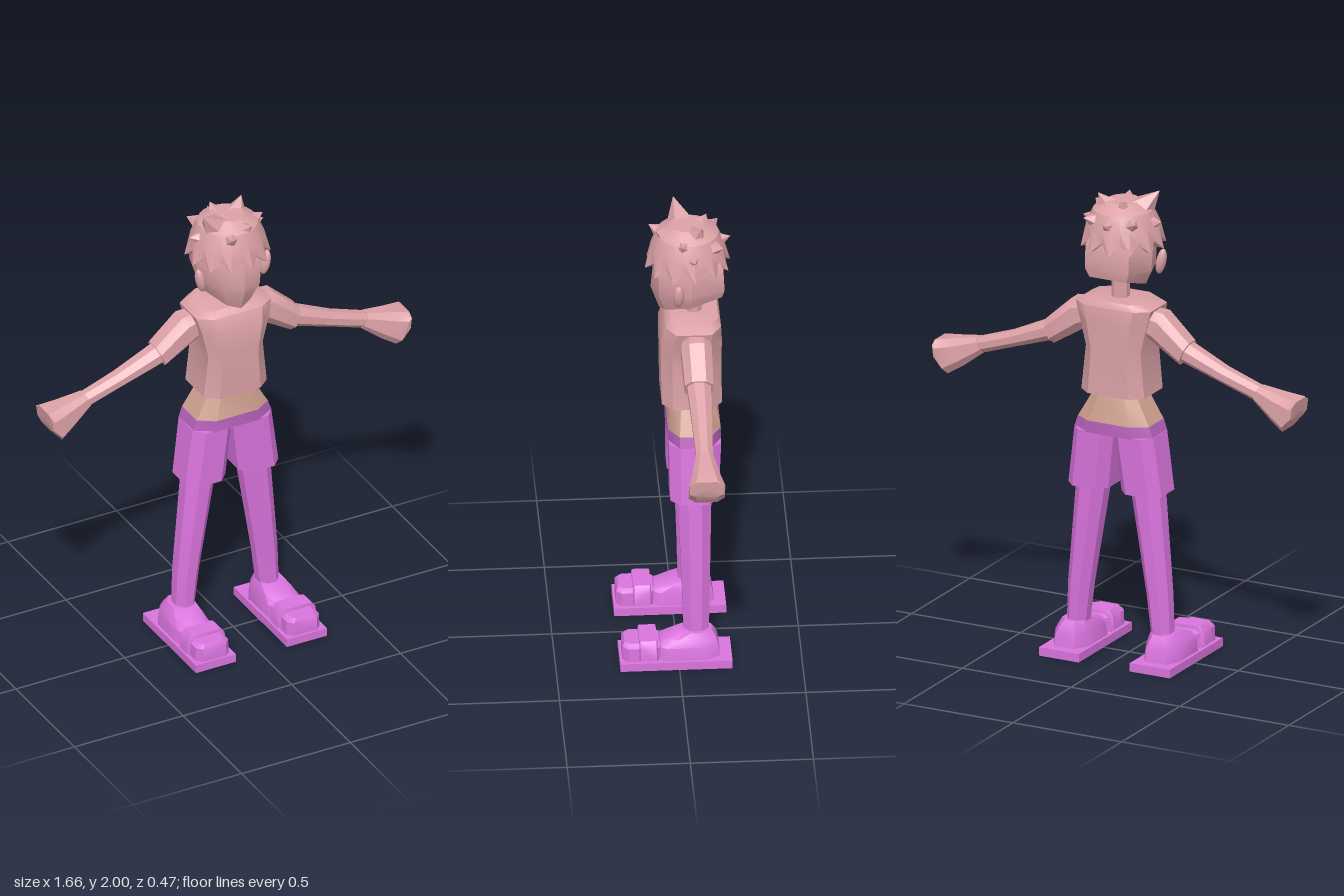
import * as THREE from 'three';
import { toCreasedNormals } from 'three/addons/utils/BufferGeometryUtils.js';

const skin = new THREE.MeshStandardMaterial({ color: 0xdca2a7 });
skin.name = 'rosePink';
const midriff = new THREE.MeshStandardMaterial({ color: 0xcfa08f });
midriff.name = 'tanPink';
const violet = new THREE.MeshStandardMaterial({ color: 0xda74de });
violet.name = 'violet';
const band = new THREE.MeshStandardMaterial({ color: 0xb862bc });
band.name = 'darkViolet';

// Ring of n points: centre, radii, boxiness (1 = round, lower = squarer), tilt about z
function ring(cx, cy, cz, rx, rz, e = 1, tilt = 0, n = 8) {
  const pow = (v) => Math.sign(v) * Math.abs(v) ** e;
  const max = pow(Math.cos(Math.PI / n));
  return Array.from({ length: n }, (_, i) => {
    const a = ((i + 0.5) / n) * Math.PI * 2;
    const u = (rx * pow(Math.cos(a))) / max;
    const w = (rz * pow(Math.sin(a))) / max;
    return [cx + u * Math.cos(tilt), cy + u * Math.sin(tilt), cz - w];
  });
}

// Full ring from the points of its +x half, listed front to back
function mirrored(half) {
  const other = half.filter((p) => p[0] > 0).reverse().map(([x, y, z]) => [-x, y, z]);
  return [...half, ...other];
}

// Skin a stack of rings and close both ends; side = -1 mirrors the result in x
function loft(rings, side = 1, crease = 0.65) {
  const n = rings[0].length;
  const pos = [];
  const tri = (a, b, c) => {
    for (const p of side > 0 ? [a, b, c] : [a, c, b]) pos.push(p[0] * side, p[1], p[2]);
  };
  const middle = (r) => [0, 1, 2].map((k) => r.reduce((s, p) => s + p[k], 0) / n);
  const first = rings[0];
  const last = rings[rings.length - 1];
  const c0 = middle(first);
  const c1 = middle(last);
  for (let i = 0; i < n; i++) {
    const j = (i + 1) % n;
    for (let k = 0; k + 1 < rings.length; k++) {
      const lo = rings[k];
      const hi = rings[k + 1];
      tri(lo[i], lo[j], hi[i]);
      tri(lo[j], hi[j], hi[i]);
    }
    tri(c0, first[j], first[i]);
    tri(c1, last[i], last[j]);
  }
  const geo = new THREE.BufferGeometry();
  geo.setAttribute('position', new THREE.Float32BufferAttribute(pos, 3));
  return toCreasedNormals(geo, crease);
}

export function createModel() {
  const model = new THREE.Group();
  model.name = 'figure';
  const add = (name, geo, mat) => {
    const mesh = new THREE.Mesh(geo, mat);
    mesh.name = name;
    model.add(mesh);
    return mesh;
  };

  // Head with slanted jaw
  add('head', loft([
    mirrored([[0, 1.56, 0.065], [0.055, 1.58, 0.045], [0.11, 1.615, -0.06], [0.085, 1.65, -0.185]]),
    mirrored([[0, 1.66, 0.1], [0.085, 1.66, 0.07], [0.133, 1.67, -0.06], [0.1, 1.69, -0.195]]),
    mirrored([[0, 1.79, 0.088], [0.09, 1.79, 0.07], [0.142, 1.79, -0.06], [0.1, 1.79, -0.19]]),
    mirrored([[0, 1.88, 0.04], [0.06, 1.88, 0.03], [0.1, 1.88, -0.06], [0.06, 1.88, -0.15]]),
  ]), skin);
  add('neck', loft([ring(0, 1.52, -0.075, 0.035, 0.033), ring(0, 1.64, -0.075, 0.035, 0.033)]), skin);

  // Hair cap with a zigzag hem
  const hem = Array.from({ length: 24 }, (_, i) => {
    const a = ((i + 0.5) / 24) * Math.PI * 2;
    const tip = i % 2 === 0;
    const r = tip ? 0.176 : 0.152;
    return [r * Math.cos(a), tip ? 1.765 : 1.805, -0.05 - r * Math.sin(a)];
  });
  add('hairCap', loft([
    hem,
    ring(0, 1.86, -0.05, 0.15, 0.15, 1, 0, 24),
    ring(0, 1.92, -0.05, 0.122, 0.125, 1, 0, 24),
    ring(0, 1.955, -0.05, 0.065, 0.07, 1, 0, 24),
  ], 1, 0.5), skin);

  // Hair spikes, each given by its tip
  const root = new THREE.Vector3(0, 1.84, -0.05);
  const up = new THREE.Vector3(0, 1, 0);
  const tips = [
    [-0.14, 2.0, 0], [0.09, 1.985, -0.1], [0.145, 1.93, -0.02], [0.175, 1.87, -0.07],
    [-0.175, 1.885, -0.05], [-0.04, 1.975, -0.13], [0.04, 1.95, 0.08], [-0.06, 1.92, 0.105],
    [0, 1.89, -0.225], [0.11, 1.9, -0.19], [-0.12, 1.9, -0.18],
  ];
  for (const t of tips) {
    const tip = new THREE.Vector3(...t);
    const base = root.clone().lerp(tip, 0.5);
    const height = tip.distanceTo(base);
    const geo = new THREE.ConeGeometry(0.06, height, 5);
    const spike = add('hairSpike', toCreasedNormals(geo, 0.3), skin);
    spike.position.copy(base).lerp(tip, 0.5);
    spike.quaternion.setFromUnitVectors(up, tip.sub(base).normalize());
  }

  // Shirt, bare waist and waistband
  add('shirt', loft([
    ring(0, 1.15, -0.0625, 0.145, 0.122, 0.5),
    ring(0, 1.34, -0.06, 0.125, 0.123, 0.5),
    ring(0, 1.46, -0.06, 0.155, 0.124, 0.5),
    ring(0, 1.525, -0.068, 0.172, 0.112, 0.5),
    ring(0, 1.55, -0.075, 0.13, 0.095, 0.5),
  ]), skin);
  add('waist', loft([
    ring(0, 1.03, -0.0725, 0.163, 0.106, 0.6),
    ring(0, 1.16, -0.07, 0.09, 0.085, 0.6),
  ]), midriff);
  add('waistband', loft([
    ring(0, 0.98, -0.0725, 0.18, 0.107, 0.6),
    ring(0, 1.03, -0.0725, 0.164, 0.107, 0.6),
  ]), band);

  for (const side of [1, -1]) {
    const tag = side > 0 ? 'left' : 'right';
    const part = (name, rings, mat) => add(tag + name, loft(rings, side), mat);

    const ear = add(tag + 'Ear', new THREE.SphereGeometry(1, 10, 8), skin);
    ear.scale.set(0.021, 0.056, 0.024);
    ear.position.set(side * 0.149, 1.7, -0.005);
    ear.rotation.z = -side * 0.2;

    // Sleeve, arm and mitten hand
    const t = -1.97;
    part('Sleeve', [
      ring(0.1, 1.475, -0.075, 0.05, 0.05, 0.8, t),
      ring(0.185, 1.452, -0.075, 0.067, 0.062, 0.8, t),
      ring(0.31, 1.357, -0.078, 0.052, 0.058, 0.8, t),
    ], skin);
    part('Arm', [
      ring(0.26, 1.38, -0.078, 0.043, 0.048, 1, t),
      ring(0.33, 1.352, -0.078, 0.042, 0.047, 1, t),
      ring(0.48, 1.293, -0.08, 0.033, 0.04, 1, t),
      ring(0.64, 1.238, -0.08, 0.033, 0.034, 1, t),
    ], skin);
    part('Hand', [
      ring(0.635, 1.24, -0.08, 0.034, 0.035, 0.8, t),
      ring(0.73, 1.198, -0.08, 0.06, 0.056, 0.7, t),
      ring(0.797, 1.173, -0.08, 0.074, 0.074, 0.6, t),
      ring(0.824, 1.2, -0.08, 0.04, 0.07, 0.6, -1.7),
    ], skin);

    // Shorts leg and bare leg
    part('ShortsLeg', [
      ring(0.122, 0.735, -0.068, 0.092, 0.098, 0.65),
      ring(0.091, 0.985, -0.0725, 0.09, 0.106, 0.65),
    ], violet);
    part('Leg', [
      ring(0.195, 0.11, -0.073, 0.042, 0.051),
      ring(0.18, 0.3, -0.073, 0.05, 0.055),
      ring(0.126, 0.735, -0.07, 0.066, 0.068),
      ring(0.115, 0.82, -0.07, 0.068, 0.068),
    ], violet);

    // Shoe
    const sole = add(tag + 'Sole', new THREE.BoxGeometry(0.184, 0.036, 0.455), violet);
    sole.position.set(side * 0.209, 0.018, 0.0125);
    part('ShoeUpper', [
      ring(0.208, 0.035, -0.03, 0.08, 0.138, 0.6),
      ring(0.208, 0.09, -0.03, 0.074, 0.13, 0.6),
      ring(0.205, 0.118, -0.05, 0.062, 0.1, 0.7),
      ring(0.202, 0.142, -0.075, 0.05, 0.06, 0.9),
    ], violet);
    part('ShoeToe', [
      ring(0.209, 0.035, 0.15, 0.076, 0.08, 0.4),
      ring(0.209, 0.095, 0.15, 0.074, 0.08, 0.4),
      ring(0.209, 0.11, 0.15, 0.055, 0.07, 0.4),
    ], violet);
    part('ShoeStrap', [
      ring(0.209, 0.045, 0.125, 0.089, 0.037, 0.15),
      ring(0.209, 0.1, 0.125, 0.084, 0.037, 0.15),
      ring(0.209, 0.125, 0.125, 0.064, 0.036, 0.15),
    ], violet);
  }
  return model;
}
